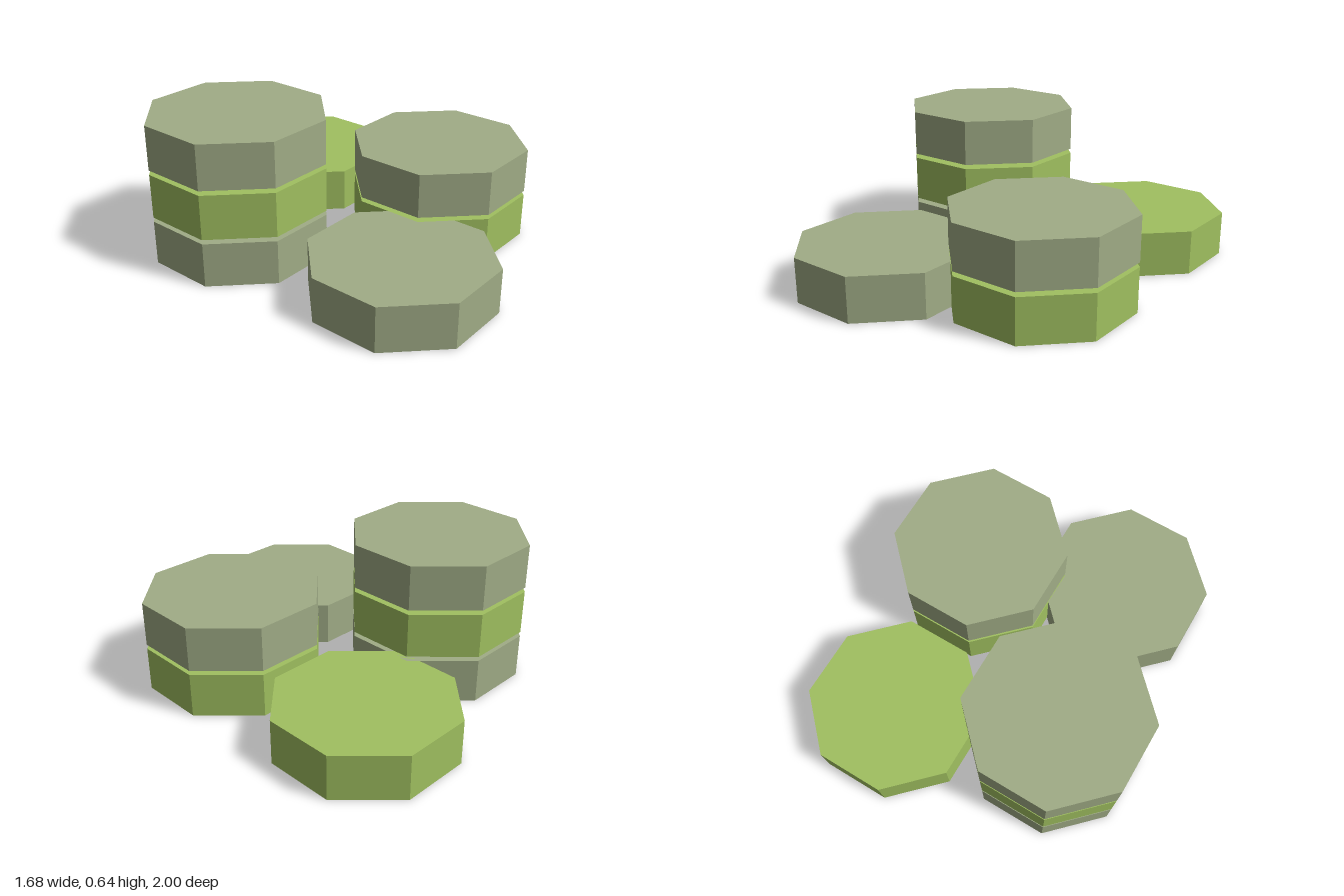
import * as THREE from 'three';

const RADIUS = 0.4, HEIGHT = 0.2, PITCH = 0.22;

export function createModel() {
  const model = new THREE.Group();
  model.name = 'discStacks';

  const sage = new THREE.MeshStandardMaterial({ color: 0xa0ac86, flatShading: true });
  sage.name = 'sage';
  const lime = new THREE.MeshStandardMaterial({ color: 0xa0c060, flatShading: true });
  lime.name = 'lime';

  // One octagonal disc shared by every stack, corners on the x and z axes
  const disc = new THREE.CylinderGeometry(RADIUS, RADIUS, HEIGHT, 8);

  // Discs of each stack are listed from the ground up
  const stacks = [
    { name: 'tallStack', x: -0.44, z: -0.12, discs: [sage, lime, sage] },
    { name: 'doubleStack', x: 0.44, z: 0.12, discs: [lime, sage] },
    { name: 'frontDisc', x: -0.04, z: 0.6, discs: [sage] },
    { name: 'backDisc', x: 0.12, z: -0.6, discs: [lime] },
  ];

  for (const { name, x, z, discs } of stacks) {
    const stack = new THREE.Group();
    stack.name = name;
    stack.position.set(x, 0, z);
    discs.forEach((material, level) => {
      const mesh = new THREE.Mesh(disc, material);
      mesh.name = `${material.name}Disc${level + 1}`;
      mesh.position.y = HEIGHT / 2 + level * PITCH;
      stack.add(mesh);
    });
    model.add(stack);
  }
  return model;
}
